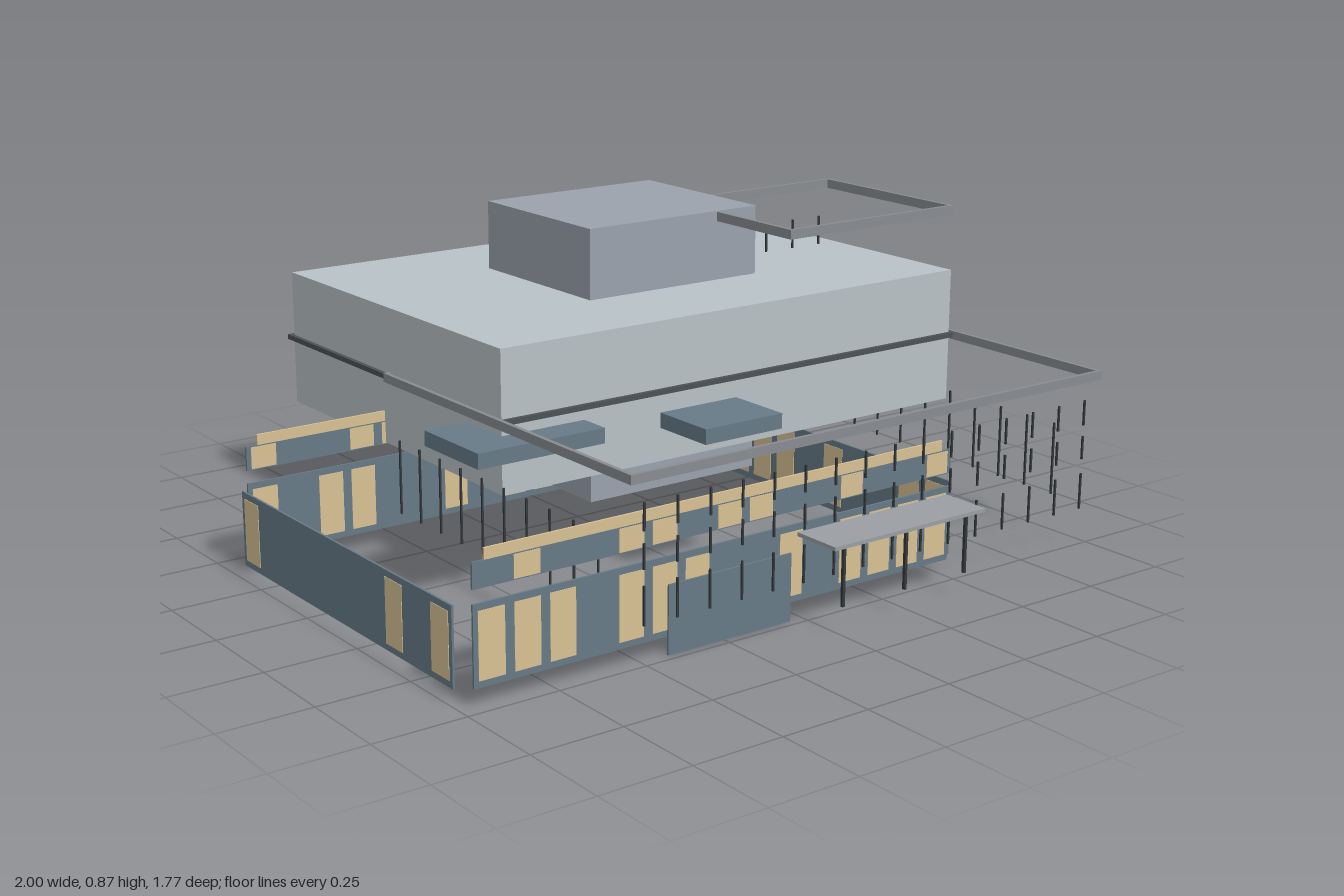
import * as THREE from 'three';

const mat = (color) => new THREE.MeshStandardMaterial({ color });

export function createModel() {
  const model = new THREE.Group();
  const pale = mat(0xb8c2c6), stone = mat(0x9aa2ac), rail = mat(0x888c90), band = mat(0x4c5256);
  const slate = mat(0x667a87), glow = mat(0xd8c193), dark = mat(0x33383c), roof = mat(0x9a9fa3);

  // Box given by its limits on each axis
  function box(parent, name, material, [x0, x1], [y0, y1], [z0, z1]) {
    const mesh = new THREE.Mesh(new THREE.BoxGeometry(x1 - x0, y1 - y0, z1 - z0), material);
    mesh.position.set((x0 + x1) / 2, (y0 + y1) / 2, (z0 + z1) / 2);
    mesh.name = name;
    parent.add(mesh);
    return mesh;
  }
  function group(name) {
    const g = new THREE.Group();
    g.name = name;
    model.add(g);
    return g;
  }
  // Rectangular ring of four bars
  function frame(name, [x0, x1], [y0, y1], [z0, z1], w, material) {
    const g = group(name);
    for (const z of [z0, z1 - w]) box(g, 'crossBar', material, [x0, x1], [y0, y1], [z, z + w]);
    for (const x of [x0, x1 - w]) box(g, 'sideBar', material, [x, x + w], [y0, y1], [z0 + w, z1 - w]);
  }
  function post(parent, x, z, y0, y1, r = 0.0025) {
    box(parent, 'post', dark, [x - r, x + r], [y0, y1], [z - r, z + r]);
  }
  // Thin wall along local x with lit windows in evenly spaced bays
  function wall(name, length, [y0, y1], bays, lit, margin) {
    const g = group(name);
    box(g, 'wallPanel', slate, [-length / 2, length / 2], [y0, y1], [-0.003, 0.003]);
    const step = length / bays;
    for (const k of lit) {
      const c = -length / 2 + (k + 0.5) * step;
      box(g, 'window', glow, [c - step * 0.37, c + step * 0.37],
        [y0 + margin, y1 - margin], [-0.0045, 0.0045]);
    }
    return g;
  }

  // Upper masses
  box(model, 'mainBlock', pale, [-0.55, 0.98], [0.29, 0.67], [-0.87, 0.21]);
  box(model, 'core', stone, [-0.07, 0.5], [0.1, 0.865], [-0.585, -0.085]);
  box(model, 'blockBand', band, [-0.562, 0.992], [0.474, 0.488], [-0.887, 0.222]);

  // Open railing frames
  frame('terraceFrame', [-0.567, 0.997], [0.468, 0.492], [-0.34, 0.778], 0.012, rail);
  frame('roofFrame', [0.362, 0.96], [0.836, 0.862], [-0.305, 0.232], 0.012, rail);

  // Slim posts on the terrace edges and the roof
  const posts = group('terracePosts');
  for (let i = 0; i < 16; i++) {
    const x = -0.52 + i * 0.098;
    for (const [a, b] of [[0.11, 0.21], [0.25, 0.315], [0.345, 0.415]]) post(posts, x, 0.765, a, b);
  }
  for (let i = 0; i < 10; i++)
    for (const x of [-0.555, 0.983]) post(posts, x, 0.63 - i * 0.1015, 0.11, 0.315);
  const roofPosts = group('roofPosts');
  for (let i = 0; i < 5; i++) post(roofPosts, 0.508 + i * 0.1015, -0.29, 0.67, 0.755);

  // Ground floor walls, with a gap at each corner
  const front = wall('frontWall', 1.465, [0.047, 0.25], 15, [0, 1, 2, 4, 5, 6, 9, 11, 12, 13, 14], 0.017);
  front.position.set(-0.2325, 0, 0.72);
  const back = wall('backWall', 1.465, [0.047, 0.25], 15, [0, 2, 3, 6, 8, 9, 12, 14], 0.017);
  back.position.set(-0.2325, 0, -0.37);
  const right = wall('leftWall', 1.02, [0.045, 0.247], 10, [0, 1, 4, 6, 7, 8, 9], 0.017);
  right.position.set(0.535, 0, 0.18);
  right.rotation.y = Math.PI / 2;
  const left = wall('rightWall', 1.02, [0.045, 0.247], 10, [0, 2, 9], 0.017);
  left.position.set(-0.998, 0, 0.18);
  left.rotation.y = Math.PI / 2;

  // Upper wall strips capped by a lit parapet
  for (const [side, z, lit] of [['front', 0.72, [1, 4, 5, 7, 8, 11, 14]], ['back', -0.37, [0, 3, 4, 8, 12]]]) {
    const strip = wall(side + 'UpperStrip', 1.465, [0.285, 0.35], 15, lit, 0.003);
    strip.position.set(-0.2325, 0, z);
    box(strip, 'parapet', glow, [-0.7, 0.7], [0.35, 0.378], [-0.003, 0.003]);
  }

  // Entrance panel and canopy
  box(model, 'entrancePanel', slate, [-0.42, -0.04], [0, 0.18], [0.722, 0.729]);
  const canopy = group('canopy');
  box(canopy, 'canopyRoof', roof, [-0.038, 0.466], [0.229, 0.239], [0.748, 0.888]);
  for (const x of [0.01, 0.215, 0.42]) post(canopy, x, 0.866, 0.07, 0.229, 0.004);

  // Floating terrace slabs
  box(model, 'terraceSlab', slate, [-0.677, -0.298], [0.404, 0.445], [0.05, 0.3]);
  box(model, 'terraceSlab', slate, [-0.102, 0.148], [0.404, 0.445], [0.272, 0.462]);

  return model;
}
